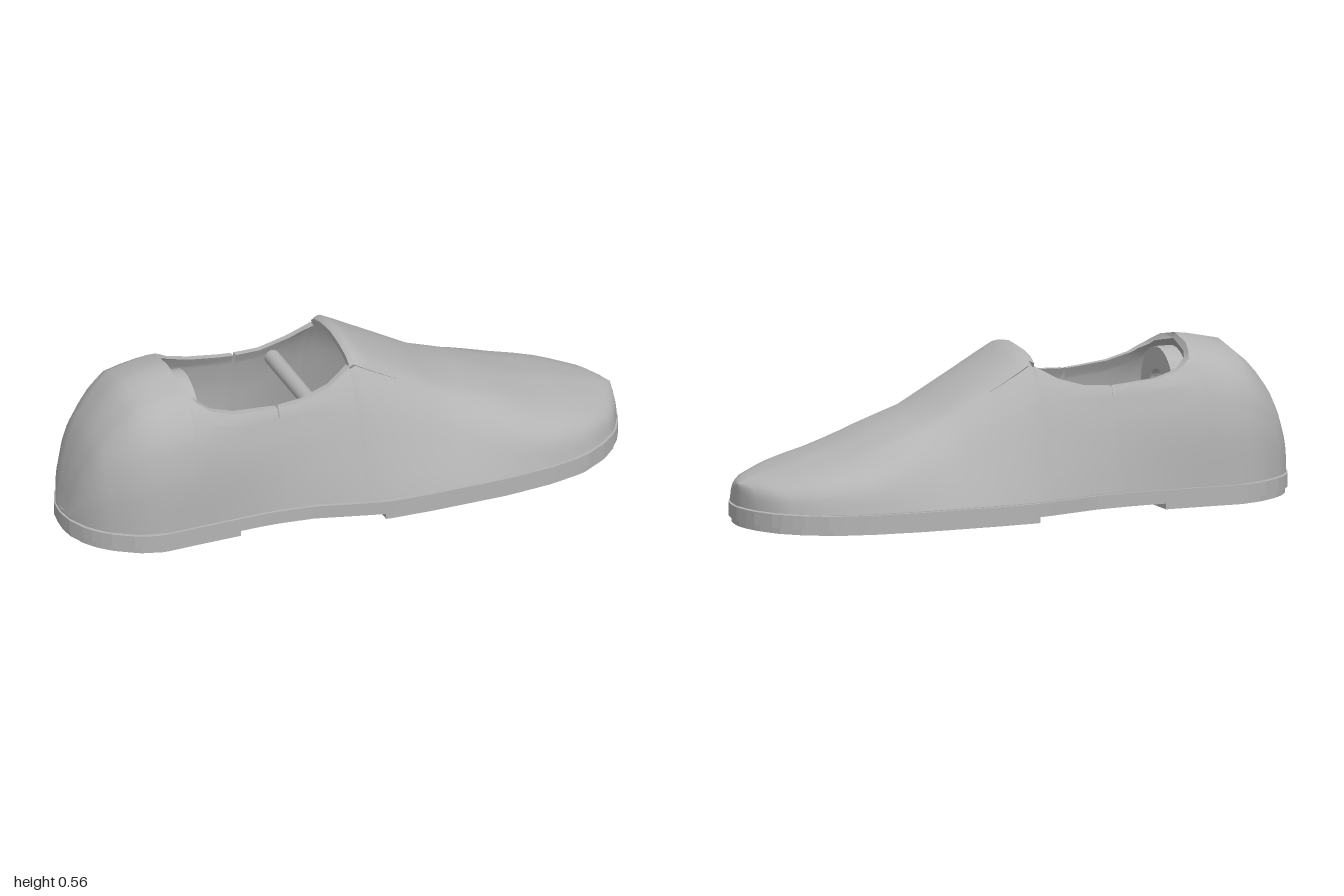
import * as THREE from 'three';
import { mergeVertices } from 'three/addons/utils/BufferGeometryUtils.js';

// piecewise linear lookup in [[x, value], ...]
function look(table, x) {
  if (x <= table[0][0]) return table[0][1];
  for (let i = 1; i < table.length; i++) {
    const [x0, v0] = table[i - 1], [x1, v1] = table[i];
    if (x <= x1) return v0 + (v1 - v0) * (x - x0) / (x1 - x0);
  }
  return table[table.length - 1][1];
}

// half width of the sole, height of the upper and height of the opening along the length
const WIDTH = [[-1, 0], [-0.995, 0.06], [-0.97, 0.125], [-0.94, 0.17], [-0.9, 0.21], [-0.82, 0.262], [-0.74, 0.285],
  [-0.6, 0.28], [-0.35, 0.275], [-0.2, 0.29], [-0.07, 0.325], [0.05, 0.357], [0.2, 0.362], [0.48, 0.36],
  [0.65, 0.343], [0.78, 0.312], [0.88, 0.25], [0.94, 0.19], [0.98, 0.11], [0.995, 0.05], [1, 0]];
const HEIGHT = [[-0.99, 0.08], [-0.975, 0.17], [-0.96, 0.235], [-0.93, 0.32], [-0.9, 0.38], [-0.84, 0.46], [-0.77, 0.52],
  [-0.65, 0.545], [-0.61, 0.55], [-0.02, 0.553], [0, 0.565], [0.1, 0.505], [0.33, 0.37], [0.5, 0.31],
  [0.65, 0.25], [0.8, 0.21], [0.9, 0.18], [0.96, 0.165], [1, 0.145]];
const RIM = [[-0.61, 0.55], [-0.605, 0.53], [-0.59, 0.505], [-0.58, 0.49], [-0.53, 0.458], [-0.45, 0.435],
  [-0.3, 0.42], [-0.2, 0.425], [-0.1, 0.455], [-0.02, 0.5]];

// relative width against relative height of the section at heel, instep and toe
const HEEL = [[0, 1], [0.33, 1], [0.5, 0.97], [0.7, 0.88], [0.86, 0.71], [0.95, 0.45], [1, 0]];
const INSTEP = [[0, 1], [0.16, 0.94], [0.33, 0.86], [0.47, 0.8], [0.67, 0.7], [0.8, 0.6], [0.88, 0.52], [0.91, 0.5],
  [0.97, 0.36], [1, 0]];
const TOE = [[0, 1], [0.4, 0.95], [0.6, 0.87], [0.8, 0.7], [0.93, 0.42], [1, 0]];
const STEPS = [0, 0.16, 0.33, 0.47, 0.6, 0.7, 0.8, 0.88, 0.91, 0.95, 0.98, 1];
const BASE = 0.07, OPEN_BACK = -0.61, OPEN_FRONT = -0.02, WALL = 0.02;

function sectionPoint(x, s, inset, open) {
  const h = Math.max(look(HEIGHT, x) - inset, BASE + 0.005);
  const w = Math.max(look(WIDTH, x / 0.995) * 0.985 - inset, 0);
  const t = s * (open ? Math.min(1, (look(RIM, x) - BASE) / (h - BASE)) : 1);
  const front = THREE.MathUtils.smoothstep(x, -0.6, 0);
  const toe = THREE.MathUtils.smoothstep(x, 0.25, 0.7);
  let f = THREE.MathUtils.lerp(look(HEEL, t), look(INSTEP, t), front);
  f = THREE.MathUtils.lerp(f, look(TOE, t), toe);
  return [x, BASE + (h - BASE) * t, w * f];
}

// full section, from the +z foot over the top to the -z foot
function section(x, inset, open) {
  const half = STEPS.map(s => sectionPoint(x, s, inset, open));
  return [...half, ...half.slice().reverse().map(([a, b, c]) => [a, b, -c])];
}

// surface through rows of points; skip(i, j) leaves a hole
function loft(rows, skip = () => false) {
  const n = rows[0].length, index = [];
  for (let i = 0; i < rows.length - 1; i++) for (let j = 0; j < n - 1; j++) {
    if (skip(i, j)) continue;
    const a = i * n + j, b = a + n;
    index.push(a, b, a + 1, b, b + 1, a + 1);
  }
  let g = new THREE.BufferGeometry();
  g.setAttribute('position', new THREE.Float32BufferAttribute(rows.flat(2), 3));
  g.setIndex(index);
  g = mergeVertices(g, 1e-5);
  g.computeVertexNormals();
  return g;
}

// flat slab with the outline of the sole between two lengths
function slab(x0, x1, y0, y1, grow) {
  const side = [];
  for (let i = 0; i <= 48; i++) {
    const x = (x0 + x1) / 2 - (x1 - x0) / 2 * Math.cos(Math.PI * i / 48);
    side.push(new THREE.Vector2(x * Math.min(grow, 1), look(WIDTH, x) * grow));
  }
  const back = side.slice().reverse().filter(p => p.y > 1e-4).map(p => new THREE.Vector2(p.x, -p.y));
  const g = new THREE.ExtrudeGeometry(new THREE.Shape([...side, ...back]), { depth: y1 - y0, bevelEnabled: false });
  return g.rotateX(Math.PI / 2).translate(0, y1, 0);
}

export function createModel() {
  const shoe = new THREE.Group();
  shoe.name = 'shoe';
  const grey = new THREE.MeshStandardMaterial({ color: 0xb4b4b4, side: THREE.DoubleSide });
  grey.name = 'grey';
  const add = (name, geometry) => {
    const mesh = new THREE.Mesh(geometry, grey);
    mesh.name = name;
    shoe.add(mesh);
    return mesh;
  };

  // sole with raised arch, and insole
  add('outsole', slab(-1, 1, 0.02, 0.066, 1));
  add('heelTread', slab(-1, -0.46, 0, 0.02, 0.99));
  add('forefootTread', slab(0.04, 1, 0, 0.02, 0.99));
  add('insole', slab(-1, 1, 0.06, 0.078, 0.965));

  // heel and quarters, with a small notch in each side of the opening
  const backXs = [-0.995, -0.99, -0.98, -0.96, -0.93, -0.9, -0.86, -0.82, -0.77, -0.71, -0.65, OPEN_BACK, -0.605, -0.59,
    -0.58, -0.555, -0.53, -0.49, -0.45, -0.4, -0.35, -0.295, -0.285, -0.24, -0.2, -0.15, -0.1, -0.06, OPEN_FRONT];
  const last = STEPS.length - 1;
  const isOpen = x => x > OPEN_BACK - 1e-4;
  const notch = i => backXs[i] === -0.295;
  const stepOf = j => Math.min(j, 2 * last - j);
  const backSkip = (i, j) => (j === last && isOpen(backXs[i])) ||
    (notch(i) && j !== last && STEPS[j < last ? j : 2 * last - j] >= 0.88);
  const backRows = inset => backXs.map(x => section(x, inset, isOpen(x)));
  const outer = backRows(0), inner = backRows(WALL);
  add('quarters', loft(outer, backSkip));
  add('quartersLining', loft(inner, backSkip));

  // rim of the opening
  const first = backXs.indexOf(OPEN_BACK);
  for (const [name, j] of [['leftRim', last], ['rightRim', last + 1]]) {
    const rows = [];
    for (let i = first; i < backXs.length; i++) {
      rows.push(j === last ? [outer[i][j], inner[i][j]] : [inner[i][j], outer[i][j]]);
    }
    add(name, loft(rows, i => notch(i + first)));
  }

  // vamp and toe, with a slit along each side of the tongue
  const frontXs = [OPEN_FRONT, 0, 0.05, 0.1, 0.15, 0.2, 0.27, 0.33, 0.41, 0.5, 0.58, 0.65, 0.73, 0.8, 0.85, 0.9, 0.93,
    0.955, 0.975, 0.985, 0.992, 0.995];
  const slit = STEPS.indexOf(0.88);
  const frontSkip = (i, j) => frontXs[i] < 0.149 && (j === slit || j === 2 * last - slit);
  const frontRows = inset => frontXs.map(x => section(x, inset, false));
  const vampOuter = frontRows(0), vampInner = frontRows(WALL);
  add('vamp', loft(vampOuter, frontSkip));
  add('vampLining', loft(vampInner.slice(0, 14), frontSkip));
  add('tongueEdge', loft([vampInner[0], vampOuter[0]],
    (i, j) => j === slit || j === 2 * last - slit || stepOf(j) < 4));

  // ring at the heel
  const ring = new THREE.Shape().absarc(0, 0, 0.13, 0, Math.PI * 2);
  ring.holes.push(new THREE.Path().absarc(0, 0, 0.055, 0, Math.PI * 2, true));
  const ringGeometry = new THREE.ExtrudeGeometry(ring, { depth: 0.06, bevelEnabled: false, curveSegments: 16 });
  add('heelRing', ringGeometry.rotateY(Math.PI / 2).translate(-0.605, 0.375, 0));

  // cross bar in the opening
  add('crossBar', new THREE.CylinderGeometry(0.027, 0.027, 0.34, 20).rotateX(Math.PI / 2).translate(-0.16, 0.395, 0));

  return shoe;
}
